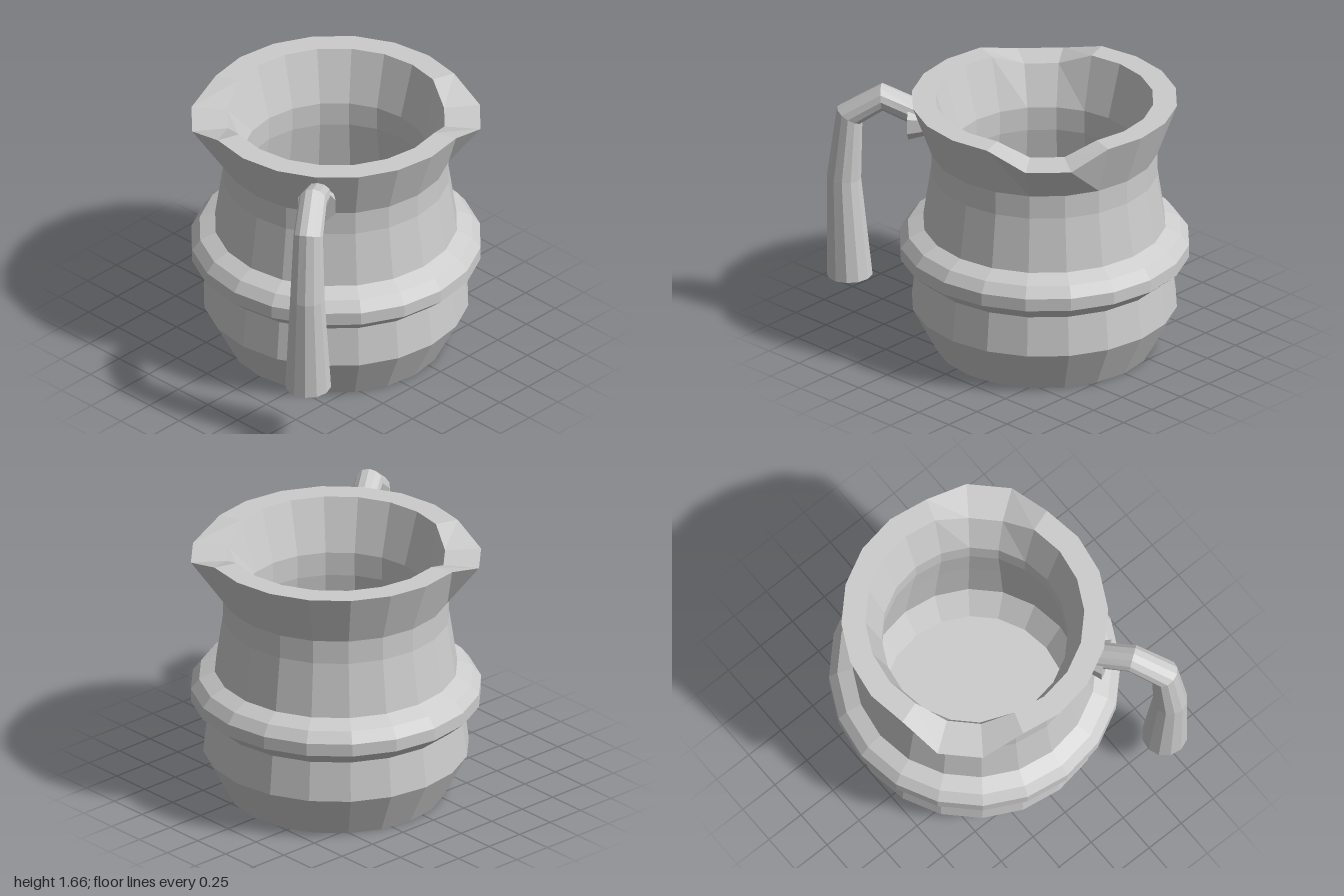
import * as THREE from 'three';

const material = new THREE.MeshStandardMaterial({ color: 0xcccccc, flatShading: true });

function part(name, geometry) {
  const flat = geometry.index ? geometry.toNonIndexed() : geometry;
  flat.computeVertexNormals();
  const mesh = new THREE.Mesh(flat, material);
  mesh.name = name;
  return mesh;
}

// Turned pot with a belly band; the rim is pulled out and down at two opposite spouts.
function potGeometry() {
  const rimY = 1.63;
  const profile = [
    [0, 0], [0.665, 0], [0.81, 0.28], [0.78, 0.53],
    [0.885, 0.62], [0.885, 0.70], [0.835, 0.765], [0.74, 0.81],
    [0.69, 1.15], [0.69, 1.30], [0.81, rimY],
    [0.665, rimY], [0.565, 1.30], [0.565, 1.15], [0.61, 0.81],
    [0.67, 0.28], [0.56, 0.10], [0, 0.10],
  ].map(([r, y]) => new THREE.Vector2(r, y));
  const geometry = new THREE.LatheGeometry(profile, 20);
  const pos = geometry.attributes.position;
  const spout = new THREE.Vector2(1, -1).normalize();
  for (let i = 0; i < pos.count; i++) {
    if (Math.abs(pos.getY(i) - rimY) > 1e-3) continue;
    const x = pos.getX(i), z = pos.getZ(i), r = Math.hypot(x, z);
    if (Math.abs(x * spout.x + z * spout.y) / r < 0.95) continue;
    const k = r > 0.75 ? 0.885 / 0.81 : 1;
    pos.setXYZ(i, x * k, 1.55, z * k);
  }
  return geometry;
}

// Tapered tube in the plane x = 0, lofted through [z, y, radius] sections, capped at both ends.
function handleGeometry(sections, sides) {
  const centres = sections.map(([z, y]) => new THREE.Vector3(0, y, z));
  const points = [], index = [];
  const last = sections.length - 1;
  sections.forEach(([, , radius], i) => {
    const c = centres[i];
    const into = i > 0 ? c.clone().sub(centres[i - 1]).normalize() : new THREE.Vector3(0, 1, 0);
    const out = i < last ? centres[i + 1].clone().sub(c).normalize() : into;
    const t = into.clone().add(out).normalize();
    const across = new THREE.Vector3(0, -t.z, t.y);
    for (let j = 0; j < sides; j++) {
      const a = (j / sides) * Math.PI * 2;
      const p = c.clone().addScaledVector(across, radius * Math.cos(a));
      points.push(p.x + radius * Math.sin(a), p.y, p.z);
    }
  });
  for (let i = 0; i < last; i++) {
    for (let j = 0; j < sides; j++) {
      const a = i * sides + j, b = i * sides + (j + 1) % sides;
      index.push(a, b, b + sides, a, b + sides, a + sides);
    }
  }
  for (let j = 1; j < sides - 1; j++) {
    index.push(0, j + 1, j);
    const e = last * sides;
    index.push(e, e + j, e + j + 1);
  }
  const geometry = new THREE.BufferGeometry();
  geometry.setAttribute('position', new THREE.Float32BufferAttribute(points, 3));
  geometry.setIndex(index);
  return geometry;
}

export function createModel() {
  const model = new THREE.Group();
  model.name = 'jug';

  const body = new THREE.Group();
  body.name = 'body';
  body.position.z = -0.115;
  model.add(body);
  body.add(part('pot', potGeometry()));

  // Handle assembly stands out between the two spouts
  const handle = new THREE.Group();
  handle.name = 'handle';
  handle.rotation.y = THREE.MathUtils.degToRad(36);
  body.add(handle);
  handle.add(part('handleGrip', handleGeometry([
    [1.19, 0.38, 0.14],
    [1.225, 1.03, 0.105],
    [1.19, 1.45, 0.09],
    [0.99, 1.58, 0.085],
    [0.78, 1.49, 0.08],
  ], 12)));

  // Octagonal boss joining the handle to the neck
  const boss = part('handleBoss', new THREE.CylinderGeometry(0.09, 0.125, 0.12, 8)
    .rotateY(Math.PI / 8).rotateX(Math.PI / 2));
  boss.rotation.y = Math.PI;
  boss.rotation.x = 0;
  boss.position.set(0, 1.44, 0.765);
  handle.add(boss);

  return model;
}
